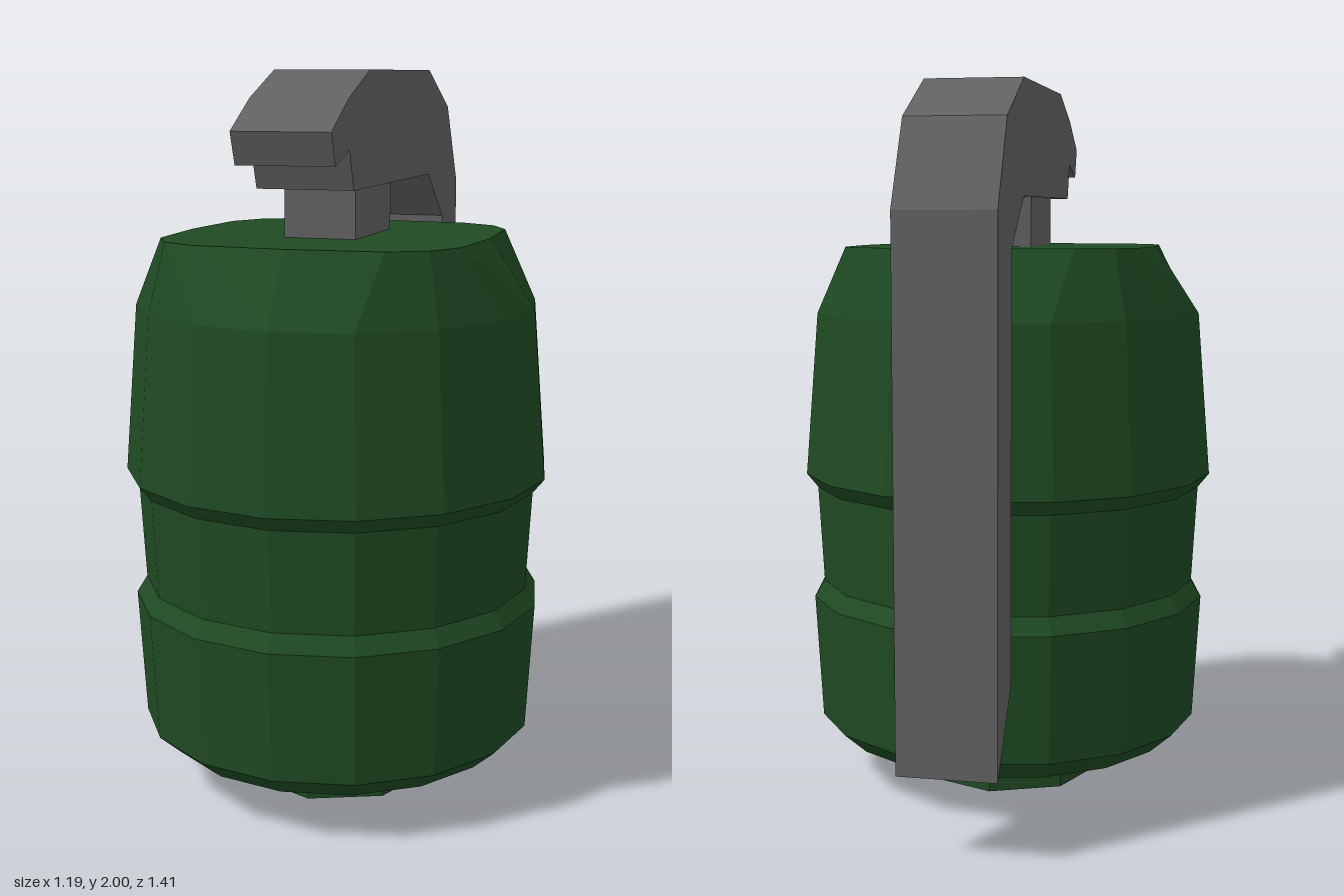
import * as THREE from 'three';

const CENTRE_Z = 0.11; // body axis sits forward of the lever

function part(name, geometry, color) {
  const material = new THREE.MeshStandardMaterial({ color, flatShading: true });
  const mesh = new THREE.Mesh(geometry, material);
  mesh.name = name;
  return mesh;
}

// Faceted barrel whose top rim is a rounded square
function bodyGeometry() {
  const top = 1.56;
  const rim = 0.433;
  const profile = [
    [0, 0.12], [0.49, 0.12], [0.557, 0.18], [0.577, 0.54], [0.548, 0.587],
    [0.563, 0.865], [0.595, 0.905], [0.557, 1.37], [rim, top], [0, top],
  ].map(([r, y]) => new THREE.Vector2(r, y));
  const geometry = new THREE.LatheGeometry(profile, 16);
  const pos = geometry.attributes.position;
  const square = (v) => (Math.abs(v) < 1e-6 ? 0 : Math.sign(v) * Math.pow(Math.abs(v) / rim, 0.54) * rim);
  for (let i = 0; i < pos.count; i++) {
    if (pos.getY(i) > top - 0.01) {
      pos.setX(i, square(pos.getX(i)));
      pos.setZ(i, square(pos.getZ(i)));
    }
  }
  geometry.computeVertexNormals();
  return geometry;
}

// Side outline (z, y) extruded across the width
function leverGeometry() {
  const width = 0.266;
  const outline = [
    [0.56, 1.85], [0.53, 1.765], [0.415, 1.8], [0.38, 1.697], [-0.355, 1.697],
    [-0.525, 1.56], [-0.53, 0.43], [-0.703, 0.23], [-0.7, 1.66], [-0.58, 1.89],
    [-0.355, 2], [0.24, 2], [0.42, 1.93],
  ].map(([z, y]) => new THREE.Vector2(z, y));
  const geometry = new THREE.ExtrudeGeometry(new THREE.Shape(outline), { depth: width, bevelEnabled: false });
  geometry.rotateY(-Math.PI / 2);
  geometry.translate(width / 2, 0, 0);
  return geometry;
}

export function createModel() {
  const group = new THREE.Group();
  group.name = 'grenade';
  const green = 0x1f4a23;
  const grey = 0x626262;

  const body = part('body', bodyGeometry(), green);
  body.position.z = CENTRE_Z;

  // Octagonal plug under the body
  const plug = part('basePlug', new THREE.CylinderGeometry(0.275, 0.275, 0.13, 8), green);
  plug.position.set(0, 0.065, CENTRE_Z);

  // Block joining body and lever
  const stem = part('stem', new THREE.BoxGeometry(0.2, 0.16, 0.325), grey);
  stem.position.set(0, 1.63, 0.098);

  group.add(body, plug, stem, part('lever', leverGeometry(), grey));
  return group;
}
